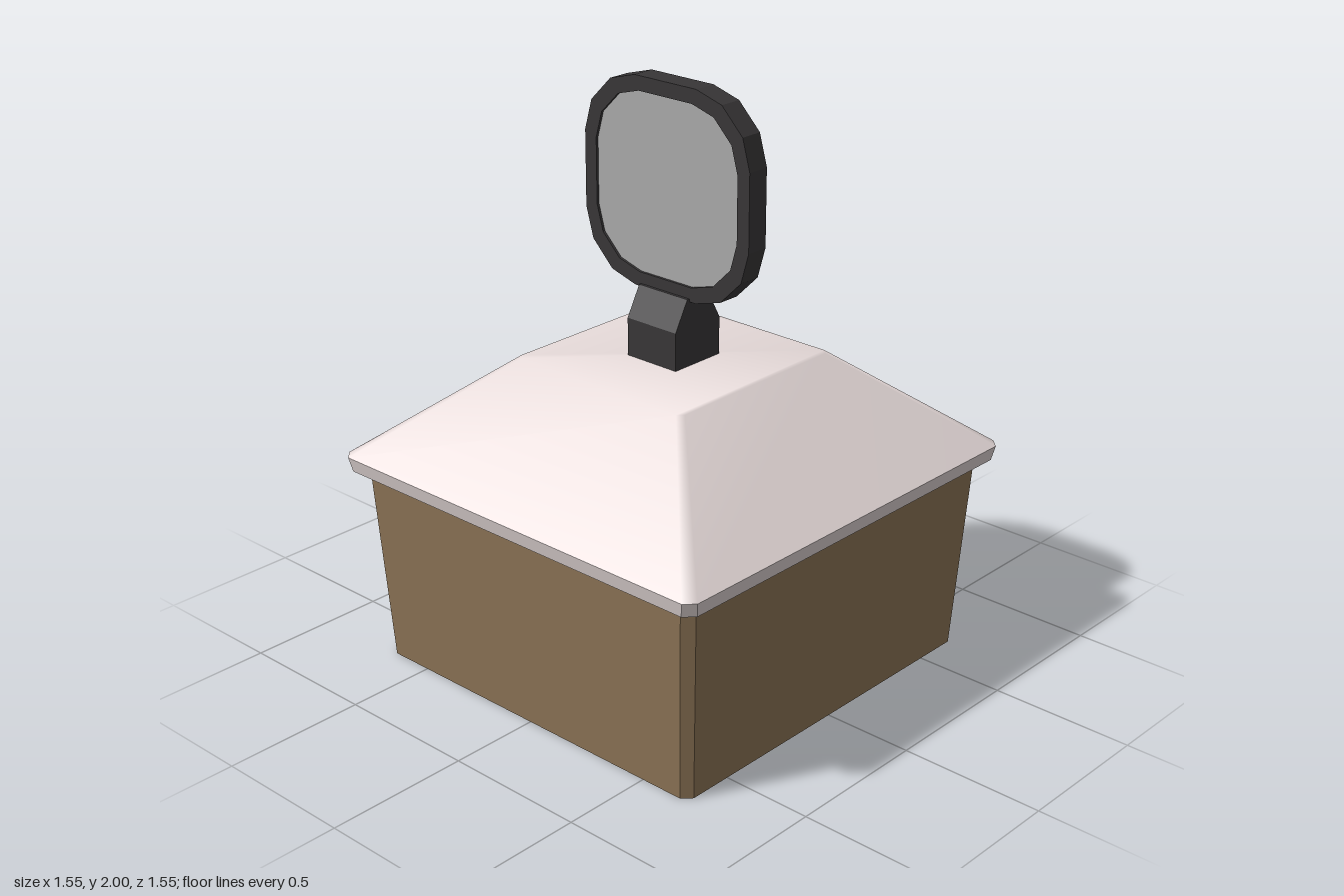
import * as THREE from 'three';

const paint = (color, flatShading = true) => new THREE.MeshStandardMaterial({ color, flatShading });

function add(parent, name, geometry, material) {
  const mesh = new THREE.Mesh(geometry, material);
  mesh.name = name;
  parent.add(mesh);
  return mesh;
}

// Square section with cut corners, listed anticlockwise seen from the front of (x, -z)
function cutSquare(half, cut) {
  const a = half - cut;
  return [[half, -a], [half, a], [a, half], [-a, half], [-half, a], [-half, -a], [-a, -half], [a, -half]];
}

// Joins cut-corner squares [y, half, cut] from bottom to top, with optional caps
function loft(levels, capBottom, capTop) {
  const positions = [], index = [], n = 8;
  for (const [y, half, cut] of levels) {
    for (const [x, z] of cutSquare(half, cut)) positions.push(x, y, -z);
  }
  for (let l = 0; l < levels.length - 1; l++) {
    for (let i = 0; i < n; i++) {
      const a = l * n + i, b = l * n + (i + 1) % n;
      index.push(a, b, b + n, a, b + n, a + n);
    }
  }
  const top = (levels.length - 1) * n;
  for (let i = 1; i < n - 1; i++) {
    if (capBottom) index.push(0, i + 1, i);
    if (capTop) index.push(top, top + i, top + i + 1);
  }
  const geometry = new THREE.BufferGeometry();
  geometry.setAttribute('position', new THREE.Float32BufferAttribute(positions, 3));
  geometry.setIndex(index);
  geometry.computeVertexNormals();
  return geometry;
}

// Sixteen-sided rounded outline of the sign, in (z, y) about its centre
function signOutline(size) {
  const quarter = [[0.35, 0.13], [0.32, 0.235], [0.235, 0.32], [0.13, 0.35]];
  const points = [];
  for (let q = 0; q < 4; q++) {
    const c = Math.round(Math.cos(q * Math.PI / 2)), s = Math.round(Math.sin(q * Math.PI / 2));
    for (const [x, y] of quarter) {
      points.push(new THREE.Vector2((x * c - y * s) * size, (x * s + y * c) * size));
    }
  }
  return points;
}

// Extrudes a sign shape from x = fromX towards -x
function signSlab(shape, fromX, depth) {
  return new THREE.ExtrudeGeometry(shape, { depth, bevelEnabled: false })
    .rotateY(-Math.PI / 2)
    .translate(fromX, 1.65, 0);
}

export function createModel() {
  const model = new THREE.Group();
  model.name = 'signedHut';
  const wood = paint(0x8b7355), dark = paint(0x383637);
  const roofPaint = paint(0xe8dcdb, false), trim = paint(0xd8cecd);

  // Walls flare out towards the eaves
  add(model, 'walls', loft([[0, 0.685, 0.03], [0.7, 0.725, 0.033]], true, false), wood);

  // Roof: crisp eave band below a softly shaded truncated pyramid
  const roof = new THREE.Group();
  roof.name = 'roof';
  add(roof, 'eaves', loft([[0.69, 0.765, 0.033], [0.74, 0.775, 0.033]], true, false), trim);
  add(roof, 'roofSlopes', loft([[0.74, 0.775, 0.033], [1.08, 0.36, 0.02]], false, true), roofPaint);
  model.add(roof);

  // Tapered foot that carries the sign
  const foot = new THREE.Shape([
    [-0.105, 1.07], [0.105, 1.07], [0.105, 1.21], [0.05, 1.31], [-0.05, 1.31], [-0.105, 1.21],
  ].map(([x, y]) => new THREE.Vector2(x, y)));
  const footGeometry = new THREE.ExtrudeGeometry(foot, { depth: 0.21, bevelEnabled: false });
  add(model, 'signFoot', footGeometry.translate(0, 0, -0.105), dark);

  // Sign board, with a raised rim around a pale panel on the -x side
  const sign = new THREE.Group();
  sign.name = 'sign';
  add(sign, 'signBoard', signSlab(new THREE.Shape(signOutline(1)), 0.04, 0.066), dark);
  const rim = new THREE.Shape(signOutline(1));
  rim.holes.push(new THREE.Path(signOutline(0.86)));
  add(sign, 'signRim', signSlab(rim, -0.026, 0.014), dark);
  add(sign, 'signPanel', signSlab(new THREE.Shape(signOutline(0.86)), -0.02, 0.011), paint(0xaaaaaa));
  model.add(sign);

  return model;
}
